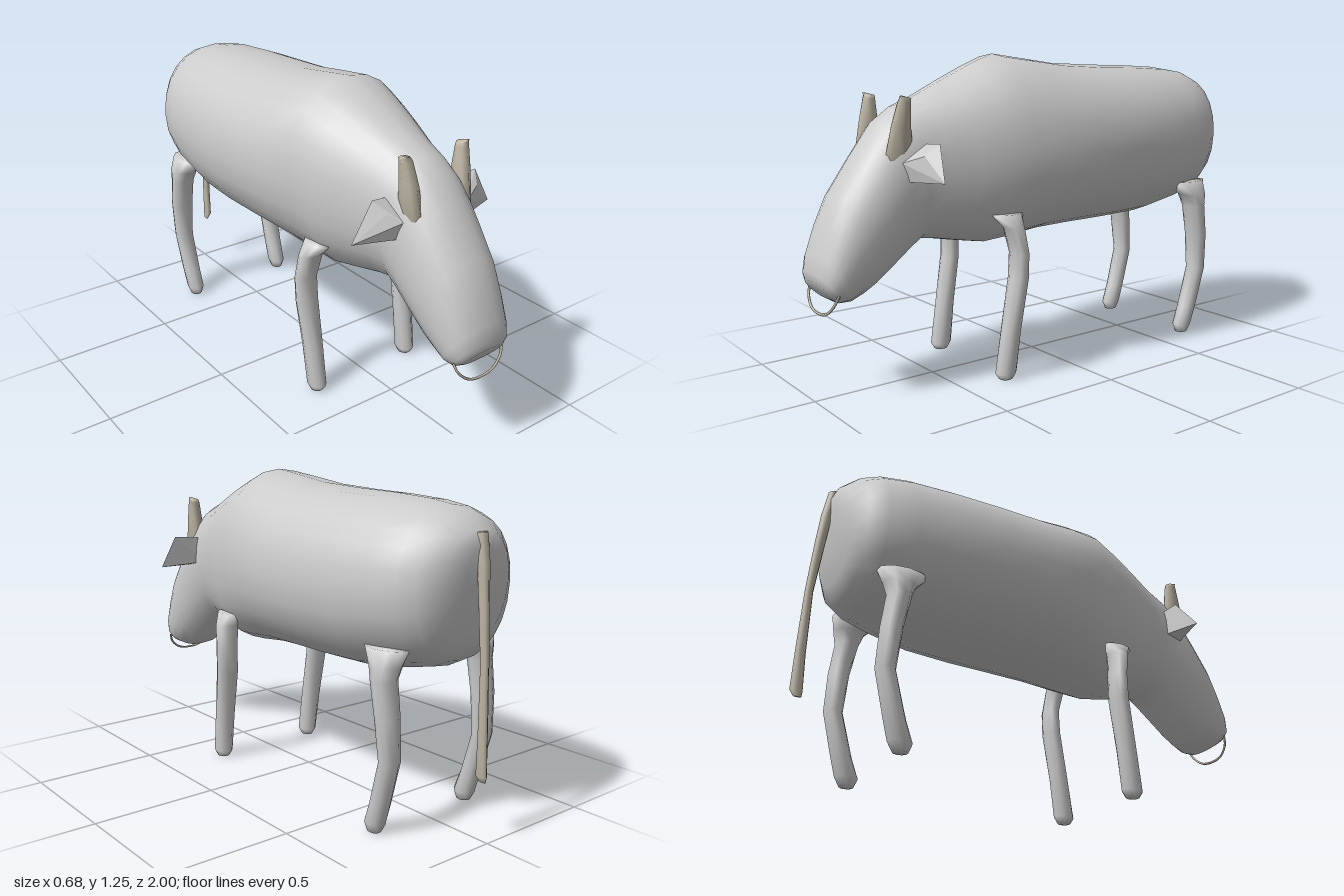
import * as THREE from 'three';
import { ConvexGeometry } from 'three/addons/geometries/ConvexGeometry.js';

const grey = new THREE.MeshStandardMaterial({ color: 0xcccccc });
const horn = new THREE.MeshStandardMaterial({ color: 0xbdb5a4 });

// Skin over cross-sections [cx, cy, cz, halfWidth, vy, vz], where (vy, vz)
// is the half axis at right angles to x; power > 2 squares the section off.
function loft(name, sections, sides, material, power = 2) {
  const pos = [], index = [];
  const soften = (t) => Math.sign(t) * Math.abs(t) ** (2 / power);
  for (const [cx, cy, cz, hw, vy, vz] of sections) {
    for (let j = 0; j < sides; j++) {
      const a = (j / sides) * Math.PI * 2;
      const c = soften(Math.cos(a)), s = soften(Math.sin(a));
      pos.push(cx + hw * c, cy + vy * s, cz + vz * s);
    }
  }
  const last = sections.length - 1;
  for (let i = 0; i < last; i++) {
    for (let j = 0; j < sides; j++) {
      const k = (j + 1) % sides;
      const a = i * sides + j, b = i * sides + k;
      index.push(a, b, a + sides, b, b + sides, a + sides);
    }
  }
  // end caps
  const first = sections[0], end = sections[last], base = (last + 1) * sides;
  pos.push(first[0], first[1], first[2], end[0], end[1], end[2]);
  for (let j = 0; j < sides; j++) {
    const k = (j + 1) % sides;
    index.push(base, k, j, base + 1, last * sides + j, last * sides + k);
  }
  const geo = new THREE.BufferGeometry();
  geo.setAttribute('position', new THREE.Float32BufferAttribute(pos, 3));
  geo.setIndex(index);
  geo.computeVertexNormals();
  const mesh = new THREE.Mesh(geo, material);
  mesh.name = name;
  return mesh;
}

// Sections stacked upwards: [y, x, z, halfWidth, halfDepth]
const stack = (rows, side = 1) => rows.map(([y, x, z, w, d]) => [x * side, y, z, w, 0, -d]);

export function createModel() {
  const group = new THREE.Group();

  // Trunk, neck and head in one skin: [top z, top y, bottom z, bottom y, half width]
  const profile = [
    [-0.935, 1.05, -0.91, 0.82, 0.07],
    [-0.915, 1.1, -0.885, 0.7, 0.17],
    [-0.86, 1.145, -0.85, 0.635, 0.235],
    [-0.79, 1.17, -0.79, 0.605, 0.275],
    [-0.68, 1.185, -0.68, 0.58, 0.305],
    [-0.5, 1.195, -0.5, 0.55, 0.328],
    [-0.3, 1.2, -0.3, 0.545, 0.34],
    [-0.1, 1.21, -0.1, 0.543, 0.335],
    [0.05, 1.23, 0.05, 0.538, 0.325],
    [0.2, 1.25, 0.2, 0.518, 0.29],
    [0.31, 1.208, 0.3, 0.51, 0.265],
    [0.42, 1.16, 0.41, 0.53, 0.23],
    [0.54, 1.105, 0.51, 0.55, 0.19],
    [0.64, 1.065, 0.57, 0.557, 0.172],
    [0.72, 1.01, 0.63, 0.515, 0.17],
    [0.81, 0.89, 0.7, 0.462, 0.165],
    [0.9, 0.765, 0.77, 0.41, 0.157],
    [0.95, 0.66, 0.82, 0.383, 0.147],
    [0.99, 0.55, 0.87, 0.366, 0.137],
    [1.0, 0.49, 0.915, 0.368, 0.12],
    [0.995, 0.455, 0.95, 0.39, 0.09],
  ];
  group.add(loft('body', profile.map(([zt, yt, zb, yb, w]) =>
    [0, (yt + yb) / 2, (zt + zb) / 2, w, (yt - yb) / 2, (zt - zb) / 2]), 24, grey, 2.15));

  const frontLeg = [
    [0.005, 0.235, 0.31, 0.025, 0.028], [0.03, 0.235, 0.31, 0.036, 0.045],
    [0.2, 0.238, 0.287, 0.041, 0.04], [0.4, 0.243, 0.255, 0.05, 0.034],
    [0.5, 0.245, 0.252, 0.05, 0.032], [0.6, 0.232, 0.268, 0.052, 0.037],
    [0.65, 0.205, 0.28, 0.045, 0.07],
  ];
  const backLeg = [
    [0.005, 0.235, -0.675, 0.025, 0.028], [0.04, 0.235, -0.678, 0.036, 0.045],
    [0.12, 0.237, -0.705, 0.039, 0.04], [0.29, 0.24, -0.752, 0.043, 0.036],
    [0.45, 0.245, -0.742, 0.05, 0.04], [0.58, 0.245, -0.722, 0.052, 0.045],
    [0.63, 0.235, -0.72, 0.06, 0.06], [0.69, 0.215, -0.7, 0.06, 0.1],
  ];
  // Horns lean slightly outwards and end in a small point
  const hornRows = [
    [0.88, 0.115, 0.69, 0.032, 0.06], [1.0, 0.122, 0.685, 0.03, 0.04],
    [1.085, 0.131, 0.675, 0.024, 0.025], [1.098, 0.135, 0.672, 0.022, 0.022],
    [1.108, 0.142, 0.692, 0.005, 0.005],
  ];
  for (const side of [1, -1]) {
    const label = side > 0 ? 'left' : 'right';
    group.add(loft(label + 'FrontLeg', stack(frontLeg, side), 10, grey));
    group.add(loft(label + 'BackLeg', stack(backLeg, side), 10, grey));
    group.add(loft(label + 'Horn', stack(hornRows, side), 8, horn));

    // Ear: thin swept point, with the left one broader along its upper edge
    const outer = side > 0 ? 0.27 : 0.225;
    const points = [
      [0.13, 0.93, 0.6], [0.13, 0.8, 0.69], [0.13, 0.82, 0.6], [0.15, 0.87, 0.7],
      [outer, 0.943, 0.615], [outer - 0.03, 0.9, 0.66], [0.2, 0.83, 0.66], [0.33, 0.81, 0.635],
    ].map(([x, y, z]) => new THREE.Vector3(x * side, y, z));
    const ear = new THREE.Mesh(new ConvexGeometry(points), grey);
    ear.name = label + 'Ear';
    group.add(ear);
  }

  // Tail hanging behind the rump
  group.add(loft('tail', stack([
    [0.225, 0.004, -0.97, 0.005, 0.015], [0.25, 0.015, -0.973, 0.014, 0.024],
    [0.4, 0.016, -0.973, 0.014, 0.02], [0.65, 0.015, -0.968, 0.014, 0.016],
    [0.85, 0.01, -0.95, 0.016, 0.02], [0.98, 0.004, -0.937, 0.022, 0.022],
    [1.09, 0, -0.92, 0.022, 0.02],
  ]), 8, horn));

  // Thin loop hanging under the muzzle
  const loop = new THREE.CatmullRomCurve3([
    [-0.12, 0.42, 0.945], [-0.105, 0.38, 0.96], [-0.06, 0.342, 0.97], [0, 0.332, 0.972],
    [0.06, 0.342, 0.97], [0.105, 0.38, 0.96], [0.12, 0.42, 0.945],
  ].map((p) => new THREE.Vector3(...p)));
  const ring = new THREE.Mesh(new THREE.TubeGeometry(loop, 20, 0.005, 6), horn);
  ring.name = 'muzzleLoop';
  group.add(ring);

  return group;
}
